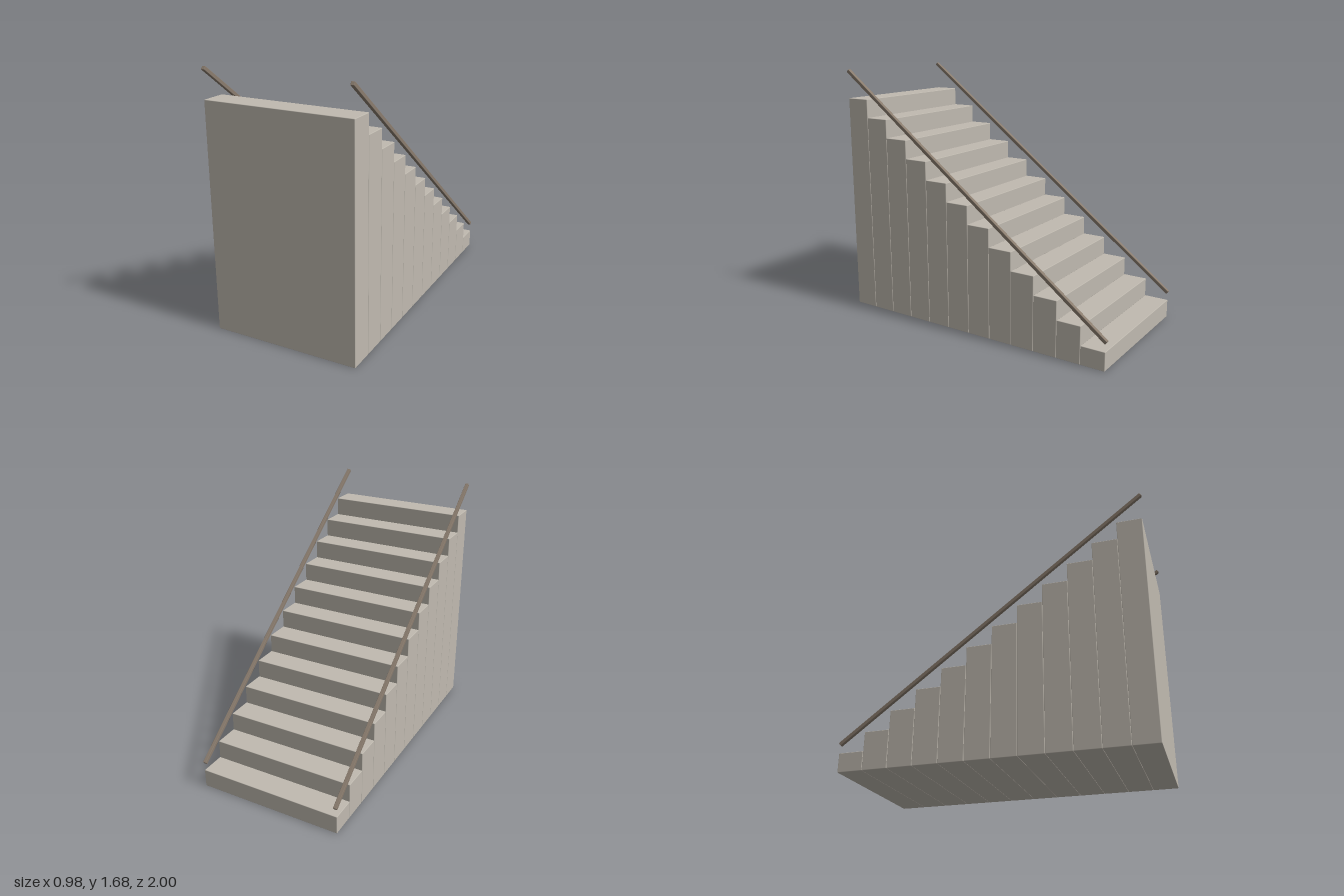
import * as THREE from 'three';
import { RoundedBoxGeometry } from 'three/addons/geometries/RoundedBoxGeometry.js';

const STEPS = 12, WIDTH = 0.98, DEPTH = 0.165, RISE = 0.124;

export function createModel() {
  const stone = new THREE.MeshStandardMaterial({ name: 'stone', color: 0xc0bab0 });
  const wood = new THREE.MeshStandardMaterial({ name: 'railWood', color: 0x8a7c6e });
  const model = new THREE.Group();
  model.name = 'staircase';

  // Box with a small bevel along its edges
  const addBlock = (name, size, bevel, material, position) => {
    const mesh = new THREE.Mesh(new RoundedBoxGeometry(...size, 1, bevel), material);
    mesh.name = name;
    mesh.position.set(...position);
    model.add(mesh);
    return mesh;
  };

  // Full-height steps, rising from the back to the front
  for (let i = 0; i < STEPS; i++) {
    const height = RISE * (i + 1);
    const z = (i + 0.5 - STEPS / 2) * DEPTH;
    addBlock(`step${i + 1}`, [WIDTH, height, DEPTH], 0.004, stone, [0, height / 2, z]);
  }

  // Sloping handrails, parallel to the flight
  const slope = Math.atan2(RISE, DEPTH);
  for (const side of [-1, 1]) {
    const name = side > 0 ? 'leftHandrail' : 'rightHandrail';
    const rail = addBlock(name, [0.024, 0.024, 2.483], 0.003, wood, [side * 0.479, 0.928, 0]);
    rail.rotation.x = -slope;
  }
  return model;
}
